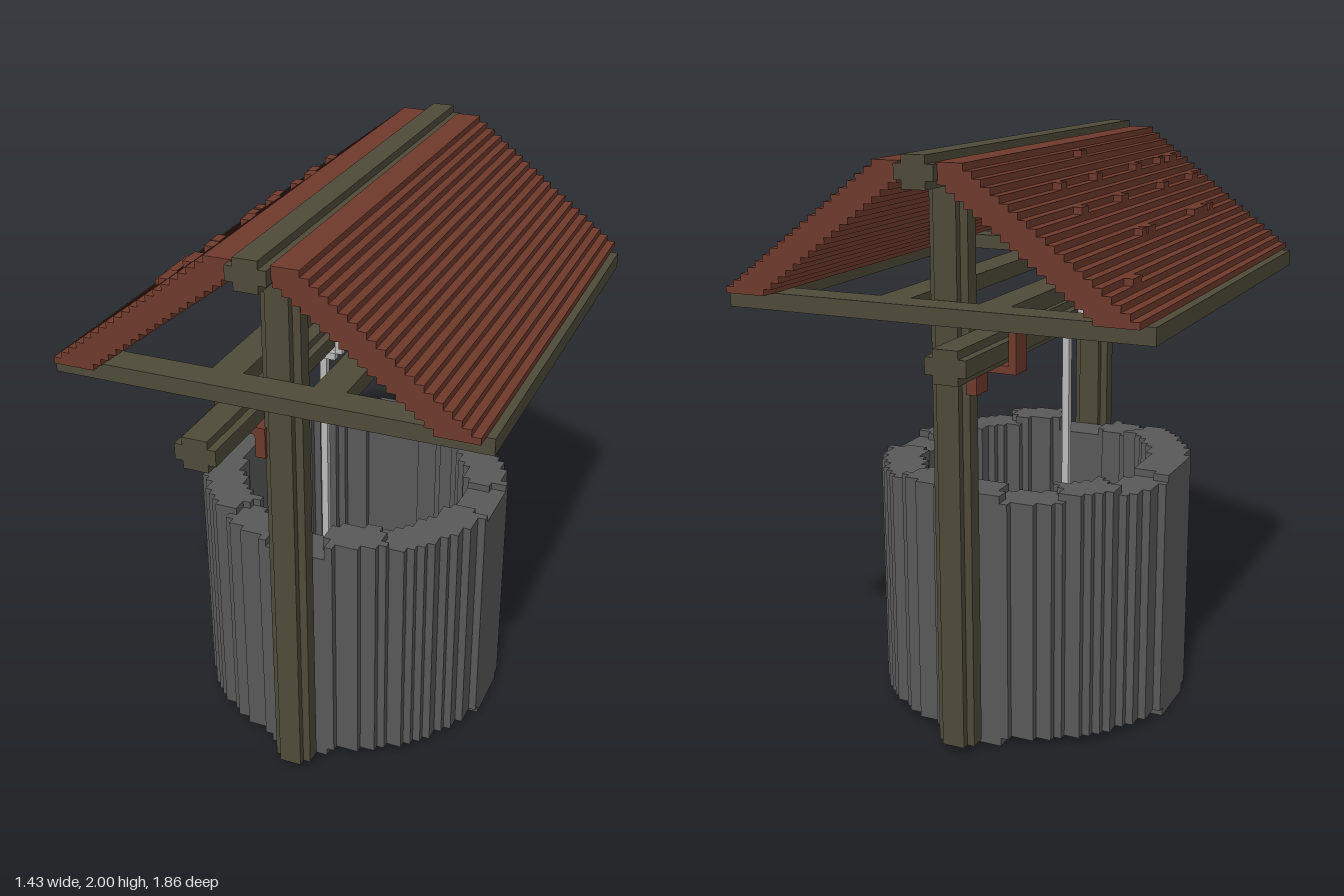
import * as THREE from 'three';
import { mergeGeometries } from 'three/addons/utils/BufferGeometryUtils.js';

const paint = (name, color) => {
  const m = new THREE.MeshStandardMaterial({ color });
  m.name = name;
  return m;
};

// box given by its bounds
const box = (x0, x1, y0, y1, z0, z1) =>
  new THREE.BoxGeometry(x1 - x0, y1 - y0, z1 - z0)
    .translate((x0 + x1) / 2, (y0 + y1) / 2, (z0 + z1) / 2);

// beam along z with square notches along its four edges
function notchedBeam(w, h, length, n = 0.026) {
  const a = w / 2, b = h / 2;
  const points = [
    [a, -b + n], [a, b - n], [a - n, b - n], [a - n, b], [-a + n, b], [-a + n, b - n],
    [-a, b - n], [-a, -b + n], [-a + n, -b + n], [-a + n, -b], [a - n, -b], [a - n, -b + n],
  ].map(([x, y]) => new THREE.Vector2(x, y));
  return new THREE.ExtrudeGeometry(new THREE.Shape(points), { depth: length, bevelEnabled: false })
    .translate(0, 0, -length / 2);
}

export function createModel() {
  const model = new THREE.Group();
  model.name = 'well';
  const stone = paint('stone grey', 0x595959);
  const wood = paint('olive wood', 0x4f4b3a);
  const tile = paint('red brown tile', 0x6f3a2c);
  const cord = paint('pale rope', 0xbcbcbc);
  const blue = paint('water blue', 0x67979b);

  const add = (name, parts, material) => {
    const mesh = new THREE.Mesh(mergeGeometries([].concat(parts)), material);
    mesh.name = name;
    model.add(mesh);
    return mesh;
  };

  // stone ring made of square columns, grouped in sixteen blocks of uneven height
  const u = 0.0268, cx = -0.015, cz = -0.01;
  const tall = [3, 6, 7, 8, 10, 12, 13];
  const columns = [];
  for (let i = -20; i < 20; i++) {
    for (let j = -20; j < 20; j++) {
      const x = (i + 0.5) * u, z = (j + 0.5) * u, r = Math.hypot(x, z);
      if (r > 0.537 || r < 0.405) continue;
      const k = Math.round(Math.atan2(z, x) / (Math.PI / 8) + 16) % 16;
      const top = tall.includes(k) ? 0.895 : k % 4 === 0 ? 0.845 : 0.87;
      const bottom = k % 4 === 0 ? 0 : 0.03;
      columns.push(box(cx + x - u / 2, cx + x + u / 2, bottom, top, cz + z - u / 2, cz + z + u / 2));
    }
  }
  add('stoneRing', columns, stone);

  // water
  add('water', new THREE.CylinderGeometry(0.42, 0.42, 0.025, 32).translate(cx, 0.045, cz), blue);

  // posts
  for (const [name, z] of [['frontPost', 0.585], ['backPost', -0.605]]) {
    add(name, notchedBeam(0.13, 0.107, 1.87).rotateX(Math.PI / 2).translate(0, 0.965, z), wood);
  }

  // ridge and winding beams
  add('ridgeBeam', notchedBeam(0.13, 0.1, 1.675).translate(-0.003, 1.95, -0.013), wood);
  add('windingBeam', notchedBeam(0.135, 0.105, 1.86).translate(-0.137, 1.408, 0), wood);

  // roof frame: two end beams, two eave beams, two inner beams
  const frame = [];
  for (const z of [0.692, -0.717]) frame.push(box(-0.718, 0.715, 1.49, 1.545, z - 0.053, z + 0.053));
  for (const x of [-0.665, -0.17, 0.17, 0.662]) {
    frame.push(box(x - 0.053, x + 0.053, 1.49, 1.545, -0.664, 0.639));
  }
  add('roofFrame', frame, wood);

  // stepped roof slopes
  const steps = 20, rise = 0.0217, run = 0.0284;
  for (const side of [-1, 1]) {
    const slats = [];
    for (let i = 0; i < steps; i++) {
      const outer = 0.688 - i * run, inner = Math.max(0.06, outer - 0.14);
      const y = 1.545 + i * rise;
      const [a, b] = side > 0 ? [inner, outer] : [-outer, -inner];
      slats.push(box(a, b, y, y + rise, -0.825, 0.795));
    }
    add(side > 0 ? 'leftRoof' : 'rightRoof', slats, tile);
  }

  // small raised chips on the steps of the right slope
  let seed = 7;
  const random = () => (seed = (seed * 16807) % 2147483647) / 2147483647;
  const chips = [];
  for (const i of [3, 7, 7, 7, 7, 7, 7, 11, 11, 11, 11, 11, 14, 14, 14, 14, 14, 14, 17]) {
    const x = -0.688 + i * run, y = 1.545 + (i + 1) * rise;
    const z = -0.65 + random() * 1.35, l = 0.03 + random() * 0.05;
    chips.push(box(x, x + run, y, y + rise, z, z + l));
  }
  add('roofChips', chips, tile);

  // brackets holding the winding beam to the posts
  for (const [name, z] of [['frontBracket', 0.585], ['backBracket', -0.605]]) {
    const a = z - 0.04, b = z + 0.04;
    add(name, [
      box(-0.23, -0.205, 1.33, 1.46, a, b),
      box(-0.205, 0.02, 1.46, 1.488, a, b),
      box(-0.205, -0.06, 1.33, 1.356, a, b),
      box(-0.095, -0.06, 1.25, 1.33, a, b),
    ], tile);
  }

  // rope wound three times round the beam, with a hanging end
  const rope = [box(-0.15, -0.125, 0.45, 1.335, -0.035, -0.01)];
  for (const z of [0.03, -0.022, -0.077]) {
    const a = z - 0.013, b = z + 0.013;
    rope.push(
      box(-0.23, -0.204, 1.356, 1.462, a, b), box(-0.07, -0.044, 1.356, 1.462, a, b),
      box(-0.204, -0.07, 1.33, 1.356, a, b), box(-0.204, -0.07, 1.46, 1.487, a, b));
  }
  add('rope', rope, cord);

  return model;
}
